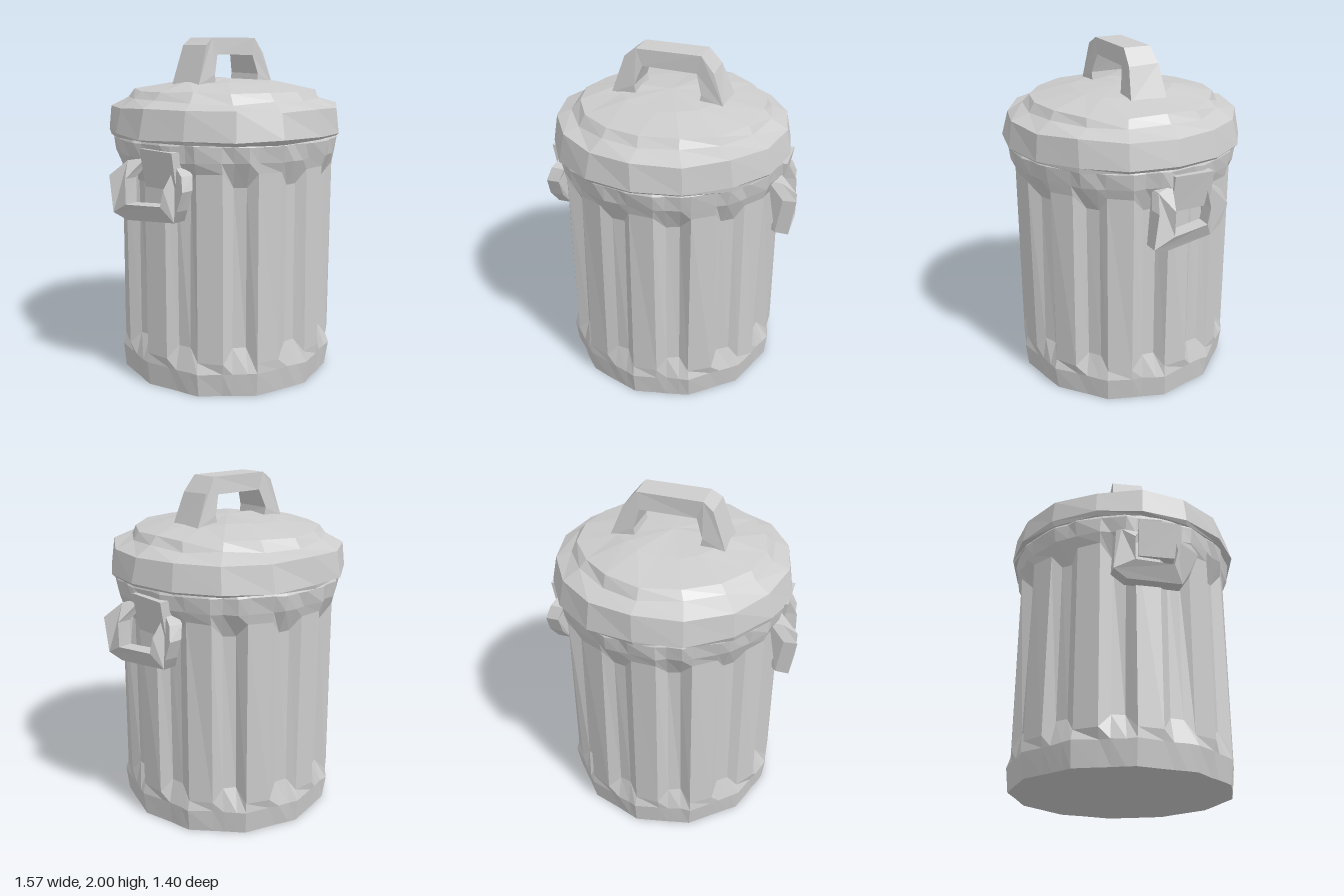
import * as THREE from 'three';

// repeatable offset in -1..1 from a position, so shared corners stay together
const noise = (x, y, z, k) => {
  const r = (v) => Math.round(v * 100);
  const s = Math.sin(r(x) * 12.9 + r(y) * 78.2 + r(z) * 37.7 + k * 5.3) * 437.5;
  return (s - Math.floor(s)) * 2 - 1;
};

// uneven, hand-beaten surface with one normal per facet
function facet(geometry, amount) {
  const p = geometry.attributes.position;
  for (let i = 0; i < p.count; i++) {
    const x = p.getX(i), y = p.getY(i), z = p.getZ(i);
    const fixedHeight = y < 0.005 || y > 1.995;
    p.setXYZ(i,
      x + amount * noise(x, y, z, 1),
      fixedHeight ? y : y + amount * noise(x, y, z, 2),
      z + amount * noise(x, y, z, 3));
  }
  const flat = geometry.index ? geometry.toNonIndexed() : geometry;
  flat.computeVertexNormals();
  return flat;
}

const polygon = (points) => points.map(([x, y]) => new THREE.Vector2(x, y));

export function createModel() {
  const model = new THREE.Group();
  model.name = 'trashCan';
  const metal = new THREE.MeshStandardMaterial({ color: 0xcccccc });
  metal.name = 'grey metal';
  const add = (name, geometry, parent = model) => {
    const mesh = new THREE.Mesh(geometry, metal);
    mesh.name = name;
    parent.add(mesh);
  };

  // fluted body: twelve ridges with grooves that fade at both ends, on a twelve-sided foot
  const profile = [[0, 0], [0.64, 0], [0.657, 0.14], [0.645, 0.25], [0.642, 1.22], [0.66, 1.34], [0.672, 1.43], [0.64, 1.5]];
  const flutes = 12;
  const body = new THREE.LatheGeometry(polygon(profile), flutes * 4);
  const pos = body.attributes.position;
  const steps = [0, 0.42, 0.6, 0.84];
  for (let v = 0; v < pos.count; v++) {
    const ring = v % profile.length;
    const column = Math.floor(v / profile.length) % (flutes * 4);
    const corner = column % 4;
    const angle = ((Math.floor(column / 4) + steps[corner] - 0.1) / flutes) * Math.PI * 2;
    const grooved = (ring === 3 || ring === 4) && corner > 1;
    const wobble = ring > 2 && ring < 7 ? 0.008 * Math.sin(column * 2.4 + ring) : 0;
    let r = profile[ring][0] - (grooved ? 0.046 : 0) + wobble;
    // straight sides between the corners of the foot
    if (ring < 3) r *= Math.cos(Math.PI / flutes) / Math.cos((steps[corner] - 0.5) * Math.PI * 2 / flutes);
    let y = pos.getY(v);
    if (ring === 3) y += grooved ? 0.03 : -0.05;
    if (ring === 4) y += grooved ? -0.02 : 0.06;
    pos.setXYZ(v, Math.sin(angle) * r, y, Math.cos(angle) * r);
  }
  add('body', facet(body, 0.004));

  // domed lid with a deep rim and a raised step
  const lid = new THREE.LatheGeometry(polygon([
    [0.58, 1.47], [0.685, 1.44], [0.703, 1.46], [0.675, 1.61],
    [0.578, 1.65], [0.54, 1.70], [0.3, 1.75], [0, 1.77],
  ]), 16);
  add('lid', facet(lid, 0.01));

  // lid handle: arch with sloping legs, narrower at the top
  const arch = new THREE.Shape(polygon([
    [-0.34, 1.73], [-0.19, 1.73], [-0.2, 1.79], [-0.16, 1.9], [0.16, 1.9], [0.19, 1.79],
    [0.18, 1.73], [0.33, 1.73], [0.26, 1.91], [0.18, 2], [-0.2, 2], [-0.26, 1.96],
  ]));
  const handle = new THREE.ExtrudeGeometry(arch, { depth: 0.2, bevelEnabled: false });
  handle.translate(0, 0, -0.1);
  const hp = handle.attributes.position;
  for (let i = 0; i < hp.count; i++) {
    const y = hp.getY(i);
    const width = y > 1.97 ? 0.82 : y > 1.85 ? 0.92 : 1.08;
    hp.setZ(i, hp.getZ(i) * width - 0.01);
  }
  add('lidHandle', facet(handle, 0.005));

  // side handles: leaning U-shaped grips, the second turned half way round
  const grip = new THREE.Shape(polygon([
    [-0.18, 1.04], [-0.1, 1.0], [0.22, 1.02], [0.27, 1.09], [0.31, 1.2], [0.28, 1.28], [0.2, 1.32],
    [0.19, 1.2], [0.17, 1.11], [-0.06, 1.1], [-0.06, 1.24], [-0.02, 1.35], [-0.12, 1.33], [-0.17, 1.25],
  ]));
  for (const [name, turn] of [['leftSideHandle', 0], ['rightSideHandle', Math.PI]]) {
    const side = new THREE.Group();
    side.name = name;
    const bar = new THREE.ExtrudeGeometry(grip, { depth: 0.08, bevelEnabled: false });
    bar.rotateY(Math.PI / 2); // shape x becomes -z, depth becomes x
    const bp = bar.attributes.position;
    for (let i = 0; i < bp.count; i++) {
      const y = bp.getY(i), z = bp.getZ(i);
      const lean = 0.625 + 0.18 * z + Math.min(0.5 * (y - 1), 0.05);
      bp.setX(i, bp.getX(i) + lean - Math.max(0, y - 1.25) * 1.1);
    }
    add('grip', facet(bar, 0.003), side);

    // tapered bracket fixing the grip under the lid
    const bracket = new THREE.BoxGeometry(0.14, 0.21, 0.24);
    const kp = bracket.attributes.position;
    for (let i = 0; i < kp.count; i++) {
      if (kp.getY(i) < 0) kp.setX(i, kp.getX(i) - 0.035);
    }
    bracket.translate(0.62, 1.295, -0.1);
    add('bracket', facet(bracket, 0.004), side);
    side.rotation.y = turn;
    model.add(side);
  }
  return model;
}
